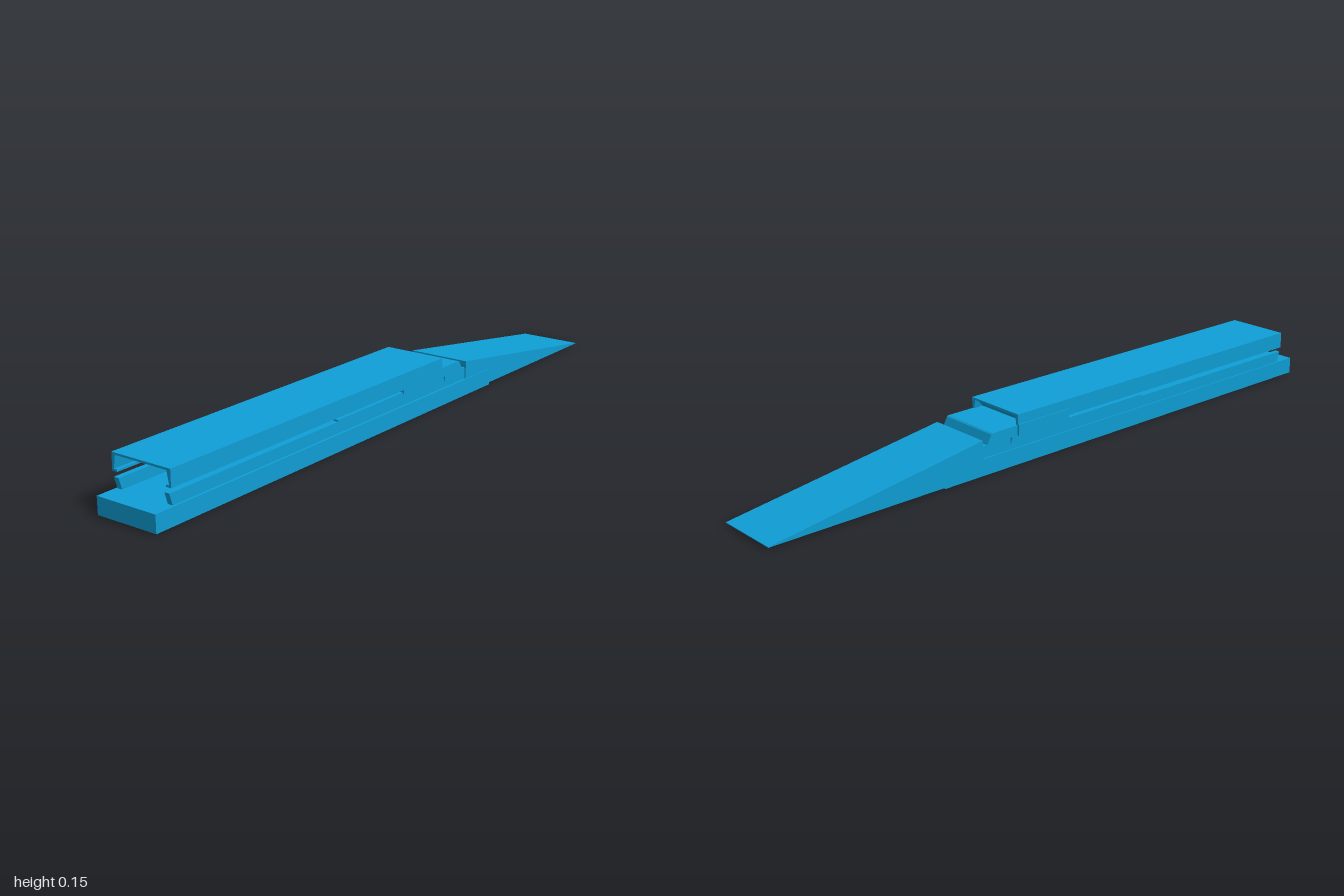
import * as THREE from 'three';

const material = new THREE.MeshStandardMaterial({ color: 0x0f9fd6, flatShading: true, side: THREE.DoubleSide });

// Side outline in (x, y), extruded from z0 to z1.
function sidePrism(name, points, z0, z1) {
  const shape = new THREE.Shape(points.map(([x, y]) => new THREE.Vector2(x, y)));
  const geometry = new THREE.ExtrudeGeometry(shape, { depth: z1 - z0, bevelEnabled: false });
  geometry.translate(0, 0, z0);
  const mesh = new THREE.Mesh(geometry, material);
  mesh.name = name;
  return mesh;
}

// End outline in (z, y), extruded from x0 to x1.
function lengthPrism(name, points, x0, x1) {
  const shape = new THREE.Shape(points.map(([z, y]) => new THREE.Vector2(-z, y)));
  const geometry = new THREE.ExtrudeGeometry(shape, { depth: x1 - x0, bevelEnabled: false });
  geometry.rotateY(Math.PI / 2).translate(x0, 0, 0);
  const mesh = new THREE.Mesh(geometry, material);
  mesh.name = name;
  return mesh;
}

const box = (x0, x1, y0, y1) => [[x0, y0], [x1, y0], [x1, y1], [x0, y1]];

export function createModel() {
  const model = new THREE.Group();
  model.name = 'slidingRail';

  // Long flat base
  model.add(sidePrism('base', box(-1, 0.45, 0, 0.05), -0.097, 0.1));

  // Tapered ramp at the left end
  model.add(sidePrism('ramp', [[0.32, 0.005], [1, 0.005], [1, 0.007], [0.32, 0.105]], -0.1, 0.097));

  // Paired side rails with slanted ends, stepping up slightly past the middle
  for (const [side, z0, z1] of [['left', 0.077, 0.093], ['right', -0.093, -0.077]]) {
    model.add(sidePrism(side + 'SideRail', [
      [-0.935, 0.049], [0.22, 0.049], [0.205, 0.088], [-0.3, 0.088], [-0.3, 0.083], [-0.945, 0.083],
    ], z0, z1));
  }

  // Stop block closing the rails
  model.add(sidePrism('stopBlock', box(0.215, 0.32, 0.049, 0.085), -0.093, 0.093));

  // Chamfered slider carrying the cover
  model.add(sidePrism('slider', [
    [0, 0.085], [0.3, 0.085], [0.285, 0.112], [0.28, 0.115], [0, 0.115],
  ], -0.095, 0.097));

  // Small tab on the back of the slider
  model.add(sidePrism('backTab', box(0, 0.19, 0.085, 0.118), -0.1, -0.094));

  // Hollow cover with inward lips along its lower edges
  model.add(lengthPrism('cover', [
    [0.1, 0.098], [0.1, 0.147], [-0.097, 0.147], [-0.097, 0.098],
    [-0.08, 0.098], [-0.08, 0.104], [-0.091, 0.104], [-0.085, 0.141],
    [0.087, 0.141], [0.094, 0.104], [0.083, 0.104], [0.083, 0.098],
  ], -0.945, 0.19));

  // Sloping wall inside the cover's open end
  model.add(sidePrism('coverEndWall', [
    [0.14, 0.112], [0.155, 0.112], [0.185, 0.143], [0.17, 0.143],
  ], -0.09, 0.092));

  return model;
}
